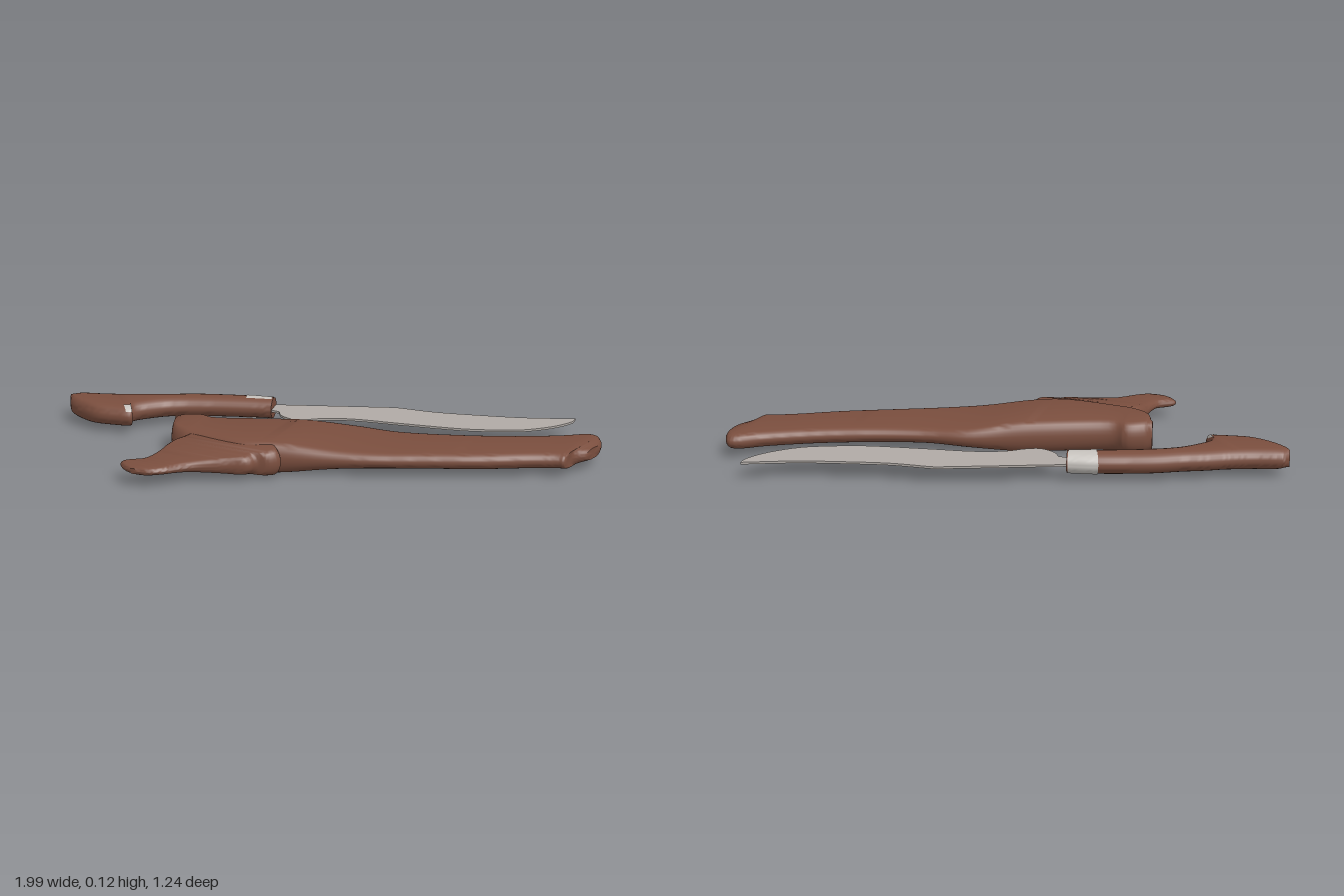
import * as THREE from 'three';
import { toCreasedNormals } from 'three/addons/utils/BufferGeometryUtils.js';

const wood = new THREE.MeshStandardMaterial({ color: 0x7a4e3e });
wood.name = 'brown wood';
const steel = new THREE.MeshStandardMaterial({ color: 0xb0aaa5 });
steel.name = 'blade steel';
const silver = new THREE.MeshStandardMaterial({ color: 0xc4c0bb, side: THREE.DoubleSide });
silver.name = 'pale silver';

// Lofts a rounded slab through stations [ax, az, bx, bz, halfThickness].
// range = part of the length, arc = part of the section in degrees, grow = outward offset.
function loft(stations, { y, bevel, range = [0, 1], arc = null, grow = 0, steps = 48, sides = 24 }) {
  const curve = (i, j) => new THREE.CatmullRomCurve3(
    stations.map((s) => new THREE.Vector3(s[i], s[4], s[j])), false, 'catmullrom', 0.5);
  const A = curve(0, 1), B = curve(2, 3);
  const pos = [], index = [], mids = [];
  const rows = steps + 1;
  for (let i = 0; i < rows; i++) {
    const t = THREE.MathUtils.lerp(range[0], range[1], i / steps);
    const a = A.getPoint(t), b = B.getPoint(t);
    const h = a.y + grow;
    const dir = b.clone().sub(a).setY(0);
    const half = dir.length() / 2 + grow;
    dir.normalize();
    const mid = a.clone().add(b).multiplyScalar(0.5).setY(y);
    mids.push(mid);
    const r = Math.min(bevel, half);
    for (let k = 0; k < sides; k++) {
      const ang = arc
        ? THREE.MathUtils.degToRad(THREE.MathUtils.lerp(arc[0], arc[1], k / (sides - 1)))
        : ((k + 0.5) / sides) * Math.PI * 2;
      const c = Math.cos(ang);
      const u = Math.sign(c) * (half - r) + r * c;
      pos.push(mid.x + dir.x * u, y + h * Math.sin(ang), mid.z + dir.z * u);
    }
  }
  // Winding follows the direction in which the stations advance
  const m = stations[stations.length >> 1];
  const axis = mids[rows - 1].clone().sub(mids[0]);
  const flip = (m[2] - m[0]) * axis.z - (m[3] - m[1]) * axis.x < 0;
  const tri = (a, b, c) => (flip ? index.push(a, c, b) : index.push(a, b, c));
  const span = arc ? sides - 1 : sides;
  for (let i = 0; i < steps; i++) {
    for (let k = 0; k < span; k++) {
      const n = (k + 1) % sides;
      const p = i * sides + k, q = i * sides + n;
      tri(p, q, p + sides);
      tri(q, q + sides, p + sides);
    }
  }
  // End caps
  if (!arc) {
    const first = pos.length / 3;
    pos.push(...mids[0].toArray(), ...mids[rows - 1].toArray());
    for (let k = 0; k < sides; k++) {
      const n = (k + 1) % sides;
      tri(first, n, k);
      tri(first + 1, steps * sides + k, steps * sides + n);
    }
  }
  const g = new THREE.BufferGeometry();
  g.setAttribute('position', new THREE.Float32BufferAttribute(pos, 3));
  g.setIndex(index);
  return toCreasedNormals(g, 0.8);
}

function add(group, name, geometry, material) {
  const mesh = new THREE.Mesh(geometry, material);
  mesh.name = name;
  group.add(mesh);
}

// Scabbard body, mouth to tip
const bodyStations = [
  [-0.475, 0.14, -0.465, 0.18, 0.053], [-0.45, 0.11, -0.425, 0.265, 0.059],
  [-0.39, 0.08, -0.37, 0.305, 0.059], [-0.32, 0.085, -0.30, 0.32, 0.059],
  [-0.1, -0.01, -0.1, 0.33, 0.059], [0.0, -0.055, 0.03, 0.285, 0.056],
  [0.15, -0.12, 0.2, 0.215, 0.037], [0.3, -0.145, 0.35, 0.15, 0.03],
  [0.48, -0.2, 0.5, 0.075, 0.03], [0.67, -0.28, 0.67, -0.01, 0.03],
  [0.83, -0.37, 0.82, -0.1, 0.03], [0.91, -0.43, 0.9, -0.14, 0.03],
  [0.95, -0.44, 0.93, -0.15, 0.029], [0.98, -0.40, 0.937, -0.205, 0.027],
  [0.993, -0.35, 0.975, -0.25, 0.02],
];

// Carved lug below the mouth
const lugStations = [
  [-0.34, 0.22, -0.02, 0.22, 0.054], [-0.35, 0.28, 0.03, 0.28, 0.052],
  [-0.352, 0.31, 0.045, 0.31, 0.049], [-0.372, 0.345, 0.02, 0.345, 0.043],
  [-0.378, 0.37, -0.017, 0.36, 0.039], [-0.38, 0.40, -0.035, 0.395, 0.034],
  [-0.38, 0.43, -0.1, 0.43, 0.028], [-0.385, 0.48, -0.19, 0.485, 0.021],
  [-0.4, 0.52, -0.235, 0.53, 0.018], [-0.448, 0.56, -0.265, 0.57, 0.016],
  [-0.425, 0.595, -0.305, 0.605, 0.014], [-0.385, 0.615, -0.35, 0.617, 0.01],
];

// Handle, guard end to hooked pommel
const handleStations = [
  [-0.28, -0.267, -0.257, -0.18, 0.039], [-0.39, -0.24, -0.35, -0.145, 0.04],
  [-0.56, -0.175, -0.505, -0.08, 0.04], [-0.66, -0.12, -0.61, -0.02, 0.04],
  [-0.74, -0.08, -0.675, 0.05, 0.04], [-0.80, -0.045, -0.70, 0.1, 0.04],
  [-0.84, -0.025, -0.677, 0.14, 0.04], [-0.90, 0.0, -0.74, 0.16, 0.04],
  [-0.96, 0.02, -0.82, 0.17, 0.04], [-0.985, 0.03, -0.90, 0.15, 0.039],
  [-0.998, 0.045, -0.96, 0.12, 0.036], [-1.0, 0.055, -0.995, 0.08, 0.03],
];

// Blade outline in plan
function bladeGeometry() {
  const v = (list) => list.map(([x, z]) => new THREE.Vector2(x, -z));
  const s = new THREE.Shape();
  s.moveTo(-0.3, 0.25);
  s.lineTo(0.13, 0.432);
  s.splineThru(v([[0.16, -0.44], [0.3, -0.455], [0.43, -0.487], [0.62, -0.545], [0.8, -0.625]]));
  s.splineThru(v([[0.8, -0.58], [0.76, -0.5], [0.68, -0.415], [0.59, -0.365], [0.46, -0.315],
    [0.24, -0.27], [0.08, -0.24], [-0.025, -0.2], [-0.09, -0.15], [-0.14, -0.13],
    [-0.195, -0.15], [-0.225, -0.187]]));
  s.lineTo(-0.28, 0.19);
  s.closePath();
  const g = new THREE.ExtrudeGeometry(s, { depth: 0.008, bevelEnabled: false, curveSegments: 40 });
  return g.rotateX(-Math.PI / 2).translate(0, 0.058, 0);
}

export function createModel() {
  const model = new THREE.Group();
  model.name = 'knifeAndScabbard';

  const scabbard = new THREE.Group();
  scabbard.name = 'scabbard';
  add(scabbard, 'scabbardBody', loft(bodyStations, { y: 0.06, bevel: 0.04, steps: 84 }), wood);
  add(scabbard, 'scabbardLug', loft(lugStations, { y: 0.06, bevel: 0.035, steps: 66 }), wood);

  const knife = new THREE.Group();
  knife.name = 'knife';
  const grip = { y: 0.065, bevel: 0.05 };
  add(knife, 'blade', bladeGeometry(), steel);
  add(knife, 'handle', loft(handleStations, { ...grip, steps: 66 }), wood);
  // Metal sleeve wrapping the spine side of the handle
  add(knife, 'ferrule', loft(handleStations,
    { ...grip, range: [0.004, 0.09], arc: [70, 290], grow: 0.002, steps: 8 }), silver);
  // Small inlay on the upper face of the pommel
  add(knife, 'pommelInlay', loft(handleStations,
    { ...grip, range: [0.49, 0.58], arc: [35, 85], grow: 0.002, steps: 8, sides: 10 }), silver);

  model.add(scabbard, knife);
  return model;
}
